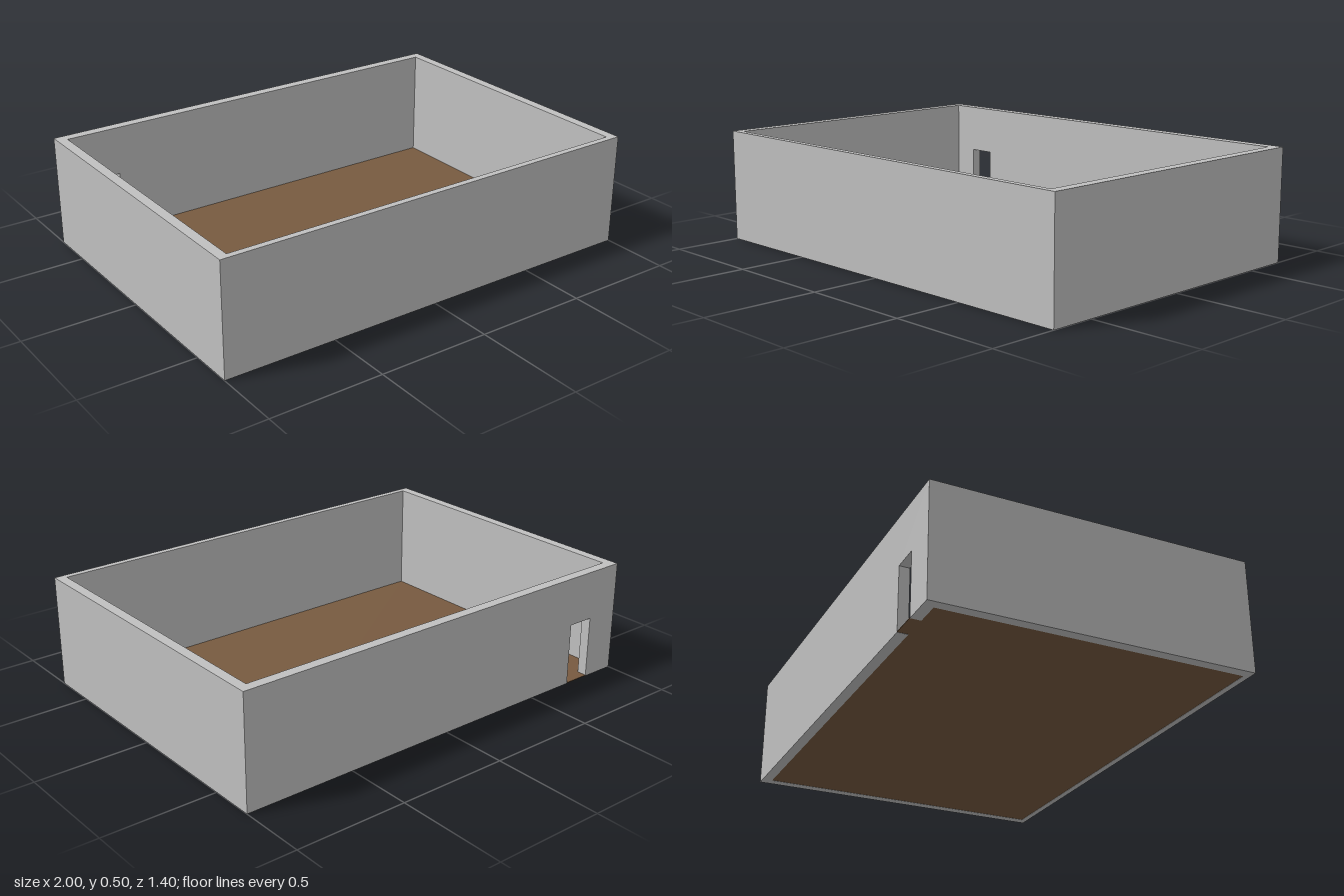
import * as THREE from 'three';

// Room limits: outer half sizes, height, inner faces
const X = 1, Z = 0.698, H = 0.5;
const INNER_X = 0.956, INNER_BACK = -0.653, INNER_FRONT = 0.67;
// Doorway in the back wall
const DOOR = { x0: -0.845, x1: -0.723, top: 0.28 };

export function createModel() {
  const group = new THREE.Group();
  const plaster = new THREE.MeshStandardMaterial({ color: 0xc0c0c0 });
  plaster.name = 'greyPlaster';
  const wood = new THREE.MeshStandardMaterial({ color: 0x775a40 });
  wood.name = 'brownFloor';

  const add = (name, geometry, material) => {
    const mesh = new THREE.Mesh(geometry, material);
    mesh.name = name;
    group.add(mesh);
  };
  // Box given by its lower and upper limits
  const box = (x0, x1, y0, y1, z0, z1) =>
    new THREE.BoxGeometry(x1 - x0, y1 - y0, z1 - z0)
      .translate((x0 + x1) / 2, (y0 + y1) / 2, (z0 + z1) / 2);

  // Back wall with the doorway cut up from the ground
  const outline = new THREE.Shape([
    [-X, 0], [DOOR.x0, 0], [DOOR.x0, DOOR.top], [DOOR.x1, DOOR.top],
    [DOOR.x1, 0], [X, 0], [X, H], [-X, H],
  ].map(([x, y]) => new THREE.Vector2(x, y)));
  const backWall = new THREE.ExtrudeGeometry(outline, {
    depth: INNER_BACK + Z, bevelEnabled: false,
  }).translate(0, 0, -Z);
  add('backWall', backWall, plaster);

  // Front wall and the two side walls between front and back
  add('frontWall', box(-X, X, 0, H, INNER_FRONT, Z), plaster);
  add('leftWall', box(INNER_X, X, 0, H, INNER_BACK, INNER_FRONT), plaster);
  add('rightWall', box(-X, -INNER_X, 0, H, INNER_BACK, INNER_FRONT), plaster);

  // Thin floor, carried through the doorway as a threshold
  add('floor', box(-INNER_X, INNER_X, 0.001, 0.004, INNER_BACK, INNER_FRONT), wood);
  add('threshold', box(DOOR.x0, DOOR.x1, 0.001, 0.004, -Z, INNER_BACK), wood);

  return group;
}
